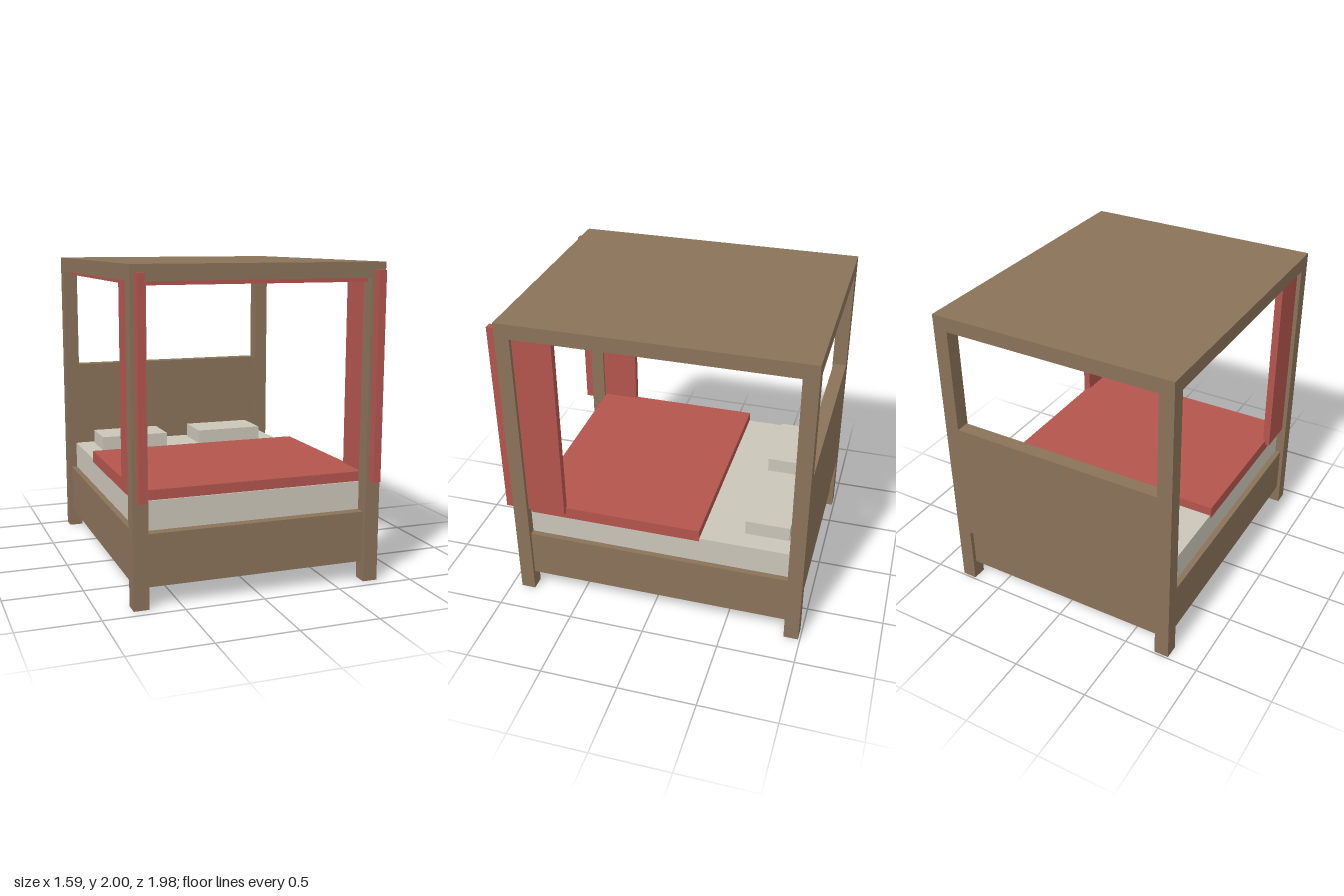
import * as THREE from 'three';

export function createModel() {
  const model = new THREE.Group();
  model.name = 'canopyBed';

  const makeMaterial = (name, color) => {
    const material = new THREE.MeshStandardMaterial({ color });
    material.name = name;
    return material;
  };
  const wood = makeMaterial('brownWood', 0x8a7259);
  const red = makeMaterial('redCloth', 0xb3554d);
  const cream = makeMaterial('creamLinen', 0xcac5b8);

  // Adds a box given its lower and upper limits on each axis
  const addBox = (name, material, [x0, x1], [y0, y1], [z0, z1]) => {
    const mesh = new THREE.Mesh(new THREE.BoxGeometry(x1 - x0, y1 - y0, z1 - z0), material);
    mesh.position.set((x0 + x1) / 2, (y0 + y1) / 2, (z0 + z1) / 2);
    mesh.name = name;
    model.add(mesh);
  };
  // Adds a box and its mirror image across the middle of the bed
  const addPair = (name, material, [x0, x1], y, z) => {
    addBox(name + 'Left', material, [x0, x1], y, z);
    addBox(name + 'Right', material, [-x1, -x0], y, z);
  };

  const outer = 0.797, inner = 0.702;
  const front = 0.932, back = -0.988, post = 0.095;

  // Wooden frame: posts, roof, base and headboard
  addPair('frontPost', wood, [inner, outer], [0, 1.905], [front - post, front]);
  addPair('backPost', wood, [inner, outer], [0, 1.905], [back, back + post]);
  addBox('roof', wood, [-outer, outer], [1.905, 2], [back, front]);
  addBox('base', wood, [-0.773, 0.773], [0.127, 0.45], [-0.96, 0.905]);
  addBox('headboard', wood, [-inner, inner], [0.4, 1.22], [back, -0.9]);

  // Bedding
  addBox('mattress', cream, [-0.735, 0.735], [0.45, 0.63], [-0.9, 0.84]);
  addBox('blanket', red, [-0.742, 0.742], [0.613, 0.692], [-0.308, 0.83]);
  addPair('pillow', cream, [0.125, 0.605], [0.63, 0.726], [-0.86, -0.575]);

  // Canopy lining and the curtains that wrap the front posts
  addBox('canopyLining', red, [-0.75, 0.75], [1.88, 1.905], [-0.94, 0.885]);
  addPair('curtain', red, [0.722, 0.77], [0.655, 1.953], [0.587, 0.99]);

  return model;
}
